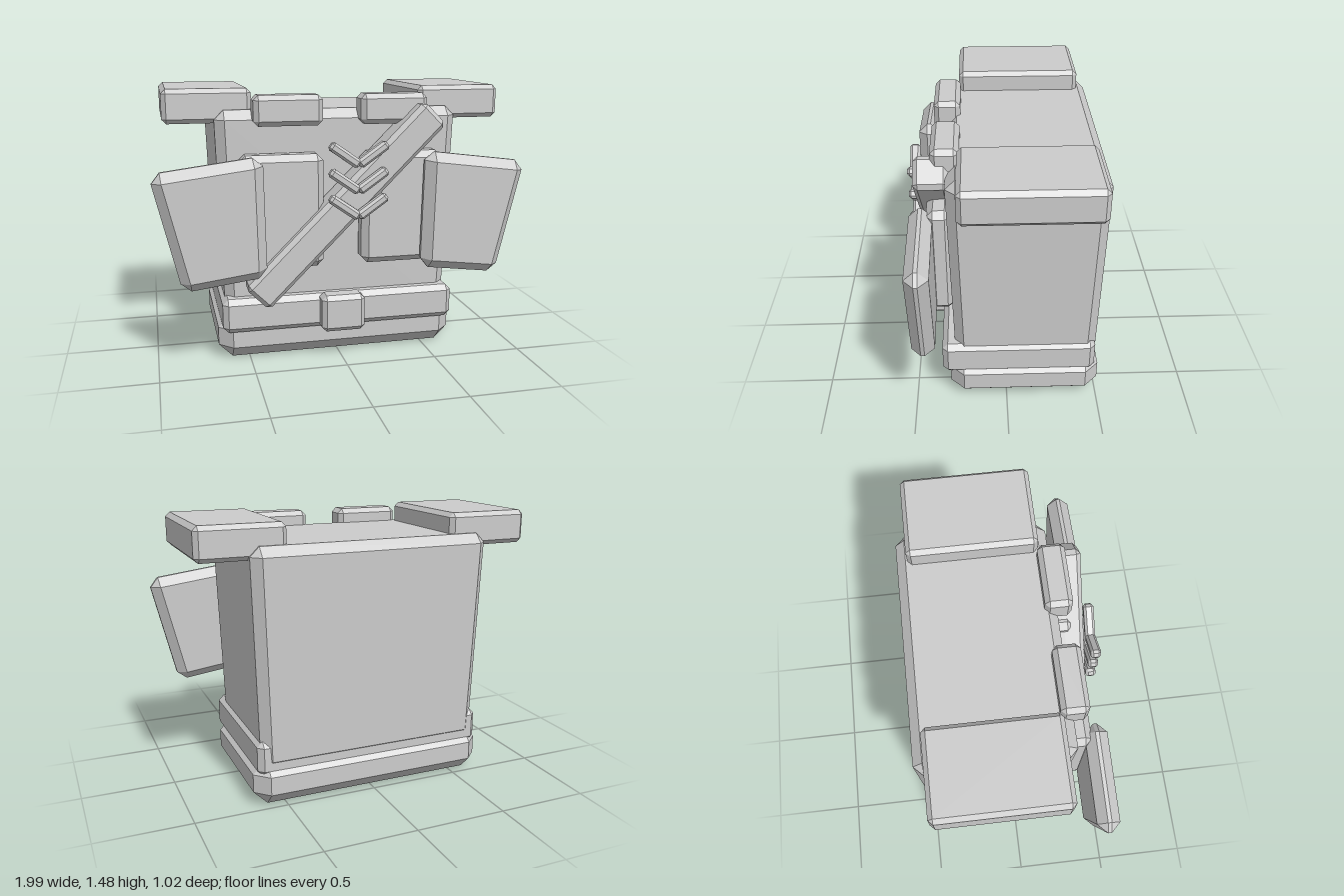
import * as THREE from 'three';
import { ConvexGeometry } from 'three/addons/geometries/ConvexGeometry.js';

const material = new THREE.MeshStandardMaterial({ color: 0xcccccc, flatShading: true });

// Box with bevelled edges; bottomX and bottomZ scale the lower end for a taper.
function bevelBox(w, h, d, bevel, bottomX = 1, bottomZ = 1) {
  const points = [];
  for (const sx of [-1, 1]) for (const sy of [-1, 1]) for (const sz of [-1, 1]) {
    const hx = (w / 2) * (sy < 0 ? bottomX : 1);
    const hz = (d / 2) * (sy < 0 ? bottomZ : 1);
    for (let axis = 0; axis < 3; axis++) {
      // each corner becomes three points, one on each adjoining face
      const b = [bevel, bevel, bevel];
      b[axis] = 0;
      points.push(new THREE.Vector3(sx * (hx - b[0]), sy * (h / 2 - b[1]), sz * (hz - b[2])));
    }
  }
  return new ConvexGeometry(points);
}

export function createModel() {
  const model = new THREE.Group();
  model.name = 'armouredVest';

  function add(name, geometry, x, y, z, angle = 0, parent = model) {
    const mesh = new THREE.Mesh(geometry, material);
    mesh.name = name;
    mesh.position.set(x, y, z);
    mesh.rotation.z = angle;
    parent.add(mesh);
    return mesh;
  }

  // Body, hem and belt
  add('torso', bevelBox(1.32, 1.17, 0.81, 0.05, 0.95, 0.95), 0, 0.785, -0.105);
  add('hem', bevelBox(1.34, 0.25, 0.82, 0.075), 0, 0.125, -0.1);
  add('belt', bevelBox(1.3, 0.19, 0.835, 0.03), 0, 0.265, -0.0675);
  add('buckle', bevelBox(0.24, 0.205, 0.12, 0.025), 0, 0.2675, 0.37);

  // Mirrored parts
  for (const [side, s] of [['left', 1], ['right', -1]]) {
    add(side + 'ShoulderPad', bevelBox(0.465, 0.18, 0.69, 0.024), s * 0.6925, 1.39, -0.105);
    add(side + 'CollarBlock', bevelBox(0.365, 0.16, 0.145, 0.026), s * 0.285, 1.37, 0.3025);
    add(side + 'ChestPlate', bevelBox(0.445, 0.61, 0.13, 0.035), s * 0.3275, 0.84, 0.34);
    add(side + 'Lapel', bevelBox(0.565, 0.635, 0.12, 0.05, 0.8), s * 0.68, 0.8, 0.433, s * -0.127);
  }

  // Diagonal sash
  add('sash', bevelBox(1.36, 0.175, 0.175, 0.024), 0.005, 0.87, 0.3725, Math.PI / 4);

  // Three stacked chevrons
  for (let i = 0; i < 3; i++) {
    const chevron = new THREE.Group();
    chevron.name = 'chevron' + (i + 1);
    chevron.position.set(0.057, 1.15 - i * 0.137, 0.485);
    for (const s of [-1, 1]) {
      add('chevronArm', bevelBox(0.185, 0.05, 0.055, 0.013), s * 0.075, 0, 0, s * 0.61, chevron);
    }
    model.add(chevron);
  }

  return model;
}
